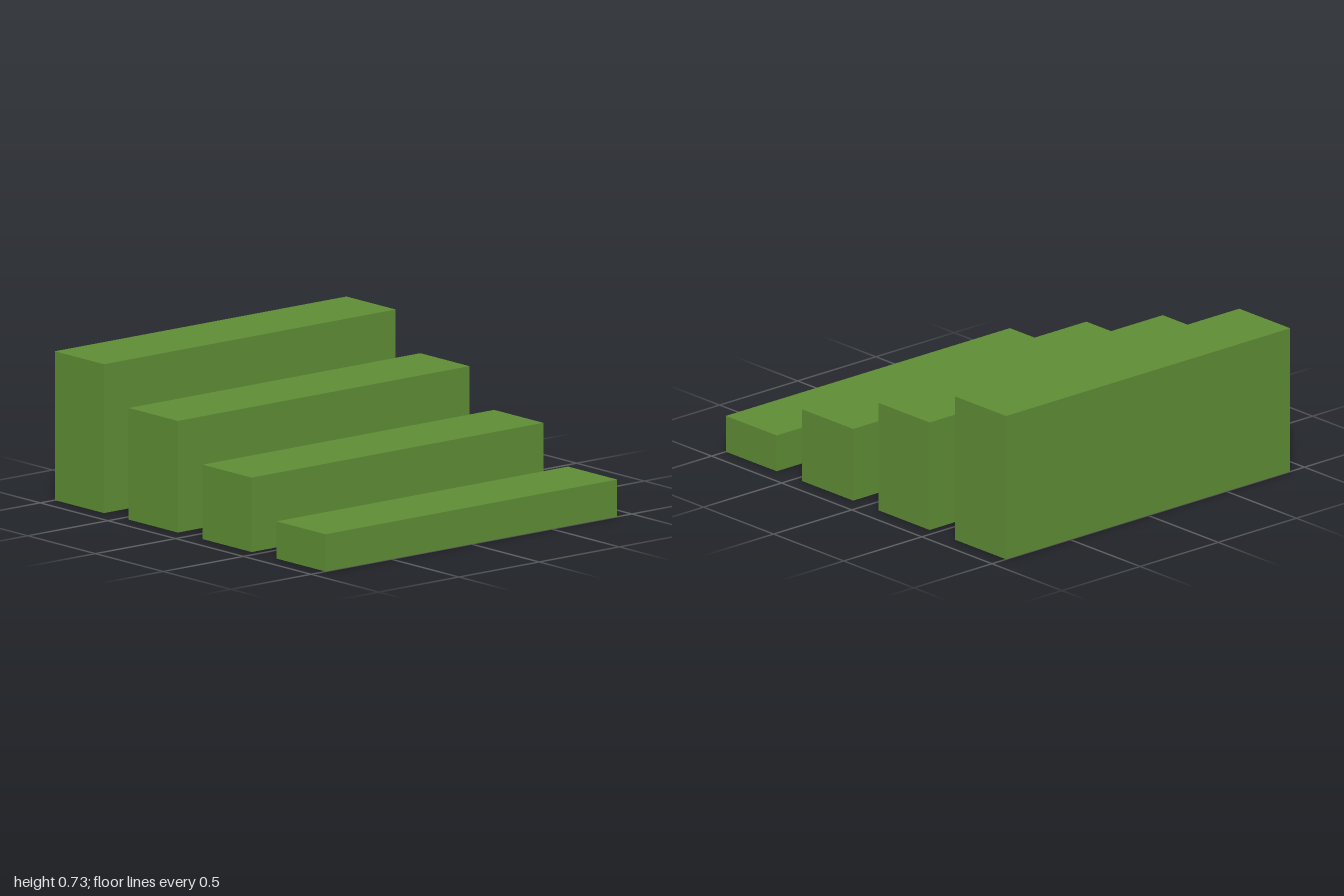
import * as THREE from 'three';

const UNIT = 2 / 11; // one step height
const WIDTH = 2 * UNIT;
const PITCH = 3 * UNIT;
const DEPTH = 10 * UNIT;

export function createModel() {
  const model = new THREE.Group();
  model.name = 'steppedBars';

  const green = new THREE.MeshStandardMaterial({ color: 0x5e8c34 });
  green.name = 'leaf green';

  // Four parallel bars, each one unit lower than the last towards +x
  for (let i = 0; i < 4; i++) {
    const height = (4 - i) * UNIT;
    const bar = new THREE.Mesh(new THREE.BoxGeometry(WIDTH, height, DEPTH), green);
    bar.name = `bar${i + 1}`;
    bar.position.set((i - 1.5) * PITCH, height / 2, 0);
    model.add(bar);
  }

  return model;
}
